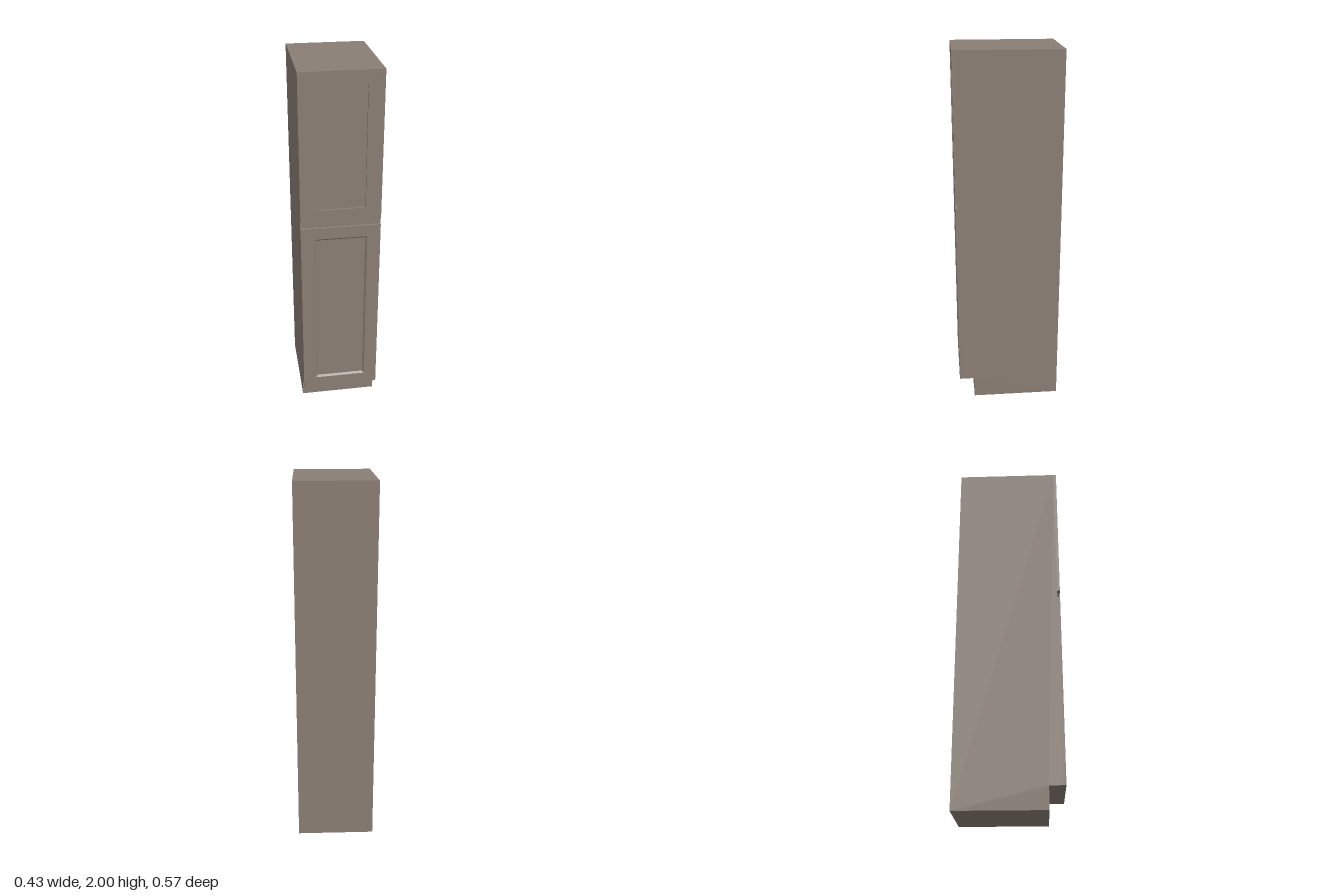
import * as THREE from 'three';

const W = 0.426, FRONT = 0.285, CARCASS_FRONT = 0.27, RECESS = 0.01;

function rect(Type, x, y0, y1) {
  const r = new Type();
  r.moveTo(-x, y0).lineTo(x, y0).lineTo(x, y1).lineTo(-x, y1).closePath();
  return r;
}

// Sloped strip running round the inside of a door frame
function mouldingGeometry(x, y0, y1, inset) {
  const ring = (d, z) => [[-x + d, y0 + d, z], [x - d, y0 + d, z], [x - d, y1 - d, z], [-x + d, y1 - d, z]];
  const outer = ring(0, FRONT), inner = ring(inset, FRONT - RECESS);
  const pos = [];
  for (let i = 0; i < 4; i++) {
    const j = (i + 1) % 4;
    pos.push(...outer[i], ...outer[j], ...inner[j], ...outer[i], ...inner[j], ...inner[i]);
  }
  const g = new THREE.BufferGeometry();
  g.setAttribute('position', new THREE.Float32BufferAttribute(pos, 3));
  g.computeVertexNormals();
  return g;
}

export function createModel() {
  const model = new THREE.Group();
  model.name = 'tallCabinet';
  const material = new THREE.MeshStandardMaterial({ color: 0x8a7e74 });
  const add = (parent, name, geometry) => {
    const mesh = new THREE.Mesh(geometry, material);
    mesh.name = name;
    parent.add(mesh);
    return mesh;
  };

  // Carcass: side profile with the toe kick, extruded across the width
  const side = new THREE.Shape();
  side.moveTo(-0.285, 0).lineTo(0.2, 0).lineTo(0.2, 0.12)
    .lineTo(CARCASS_FRONT, 0.12).lineTo(CARCASS_FRONT, 2).lineTo(-0.285, 2).closePath();
  const body = new THREE.ExtrudeGeometry(side, { depth: W, bevelEnabled: false });
  body.translate(0, 0, -W / 2).rotateY(-Math.PI / 2);
  body.scale(1, 1, 1);
  // The turn maps the profile's x onto z
  add(model, 'carcass', body);

  // Doors: frame with an opening, recessed panel, optional sloped moulding
  const doors = [
    { name: 'lowerDoor', y0: 0.12, y1: 1.17, px: 0.142, p0: 0.185, p1: 1.105, slope: 0.01 },
    { name: 'upperDoor', y0: 1.205, y1: 2, px: 0.13, p0: 1.275, p1: 1.93, slope: 0 },
  ];
  for (const d of doors) {
    const door = new THREE.Group();
    door.name = d.name;
    const shape = rect(THREE.Shape, W / 2, d.y0, d.y1);
    shape.holes.push(rect(THREE.Path, d.px, d.p0, d.p1));
    const frame = new THREE.ExtrudeGeometry(shape, { depth: FRONT - CARCASS_FRONT, bevelEnabled: false });
    add(door, 'doorFrame', frame.translate(0, 0, CARCASS_FRONT));
    const t = FRONT - RECESS - CARCASS_FRONT;
    const panel = add(door, 'doorPanel', new THREE.BoxGeometry(d.px * 2, d.p1 - d.p0, t));
    panel.position.set(0, (d.p0 + d.p1) / 2, CARCASS_FRONT + t / 2);
    if (d.slope) add(door, 'panelMoulding', mouldingGeometry(d.px, d.p0, d.p1, d.slope));
    model.add(door);
  }
  return model;
}
